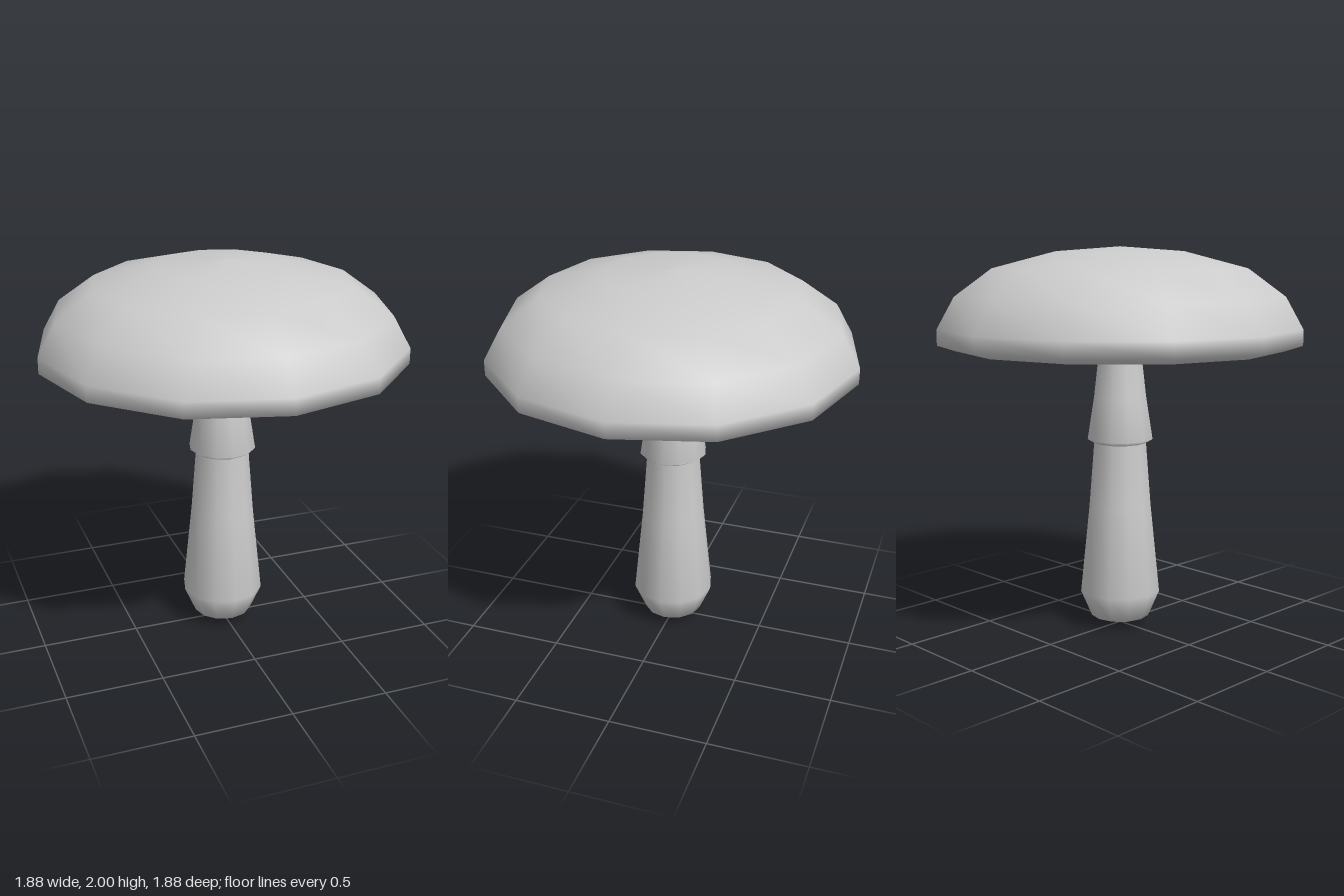
import * as THREE from 'three';

const SIDES = 12;

// Turned part from [radius, height] pairs listed so that the faces point outward
function turned(name, profile) {
  const points = profile.map(([r, y]) => new THREE.Vector2(r, y));
  const mesh = new THREE.Mesh(
    new THREE.LatheGeometry(points, SIDES),
    new THREE.MeshStandardMaterial({ color: 0xcccccc, side: THREE.DoubleSide })
  );
  mesh.name = name;
  return mesh;
}

export function createModel() {
  const group = new THREE.Group();
  group.name = 'mushroom';

  // Bulbous stem, running up into the cap
  group.add(turned('stem', [
    [0, 0], [0.155, 0.05], [0.215, 0.19], [0.167, 0.65], [0.14, 0.99], [0.115, 1.43],
  ]));

  // Flared skirt around the upper stem
  group.add(turned('skirt', [
    [0.135, 0.985], [0.175, 1.01], [0.14, 1.23], [0.117, 1.43],
  ]));

  // Domed cap with a short rolled rim
  group.add(turned('cap', [
    [0.85, 1.485], [0.94, 1.515], [0.94, 1.595], [0.85, 1.755],
    [0.66, 1.893], [0.34, 1.975], [0, 2],
  ]));

  // Shallow conical underside of the cap
  group.add(turned('capUnderside', [[0.1, 1.42], [0.85, 1.485]]));

  return group;
}
